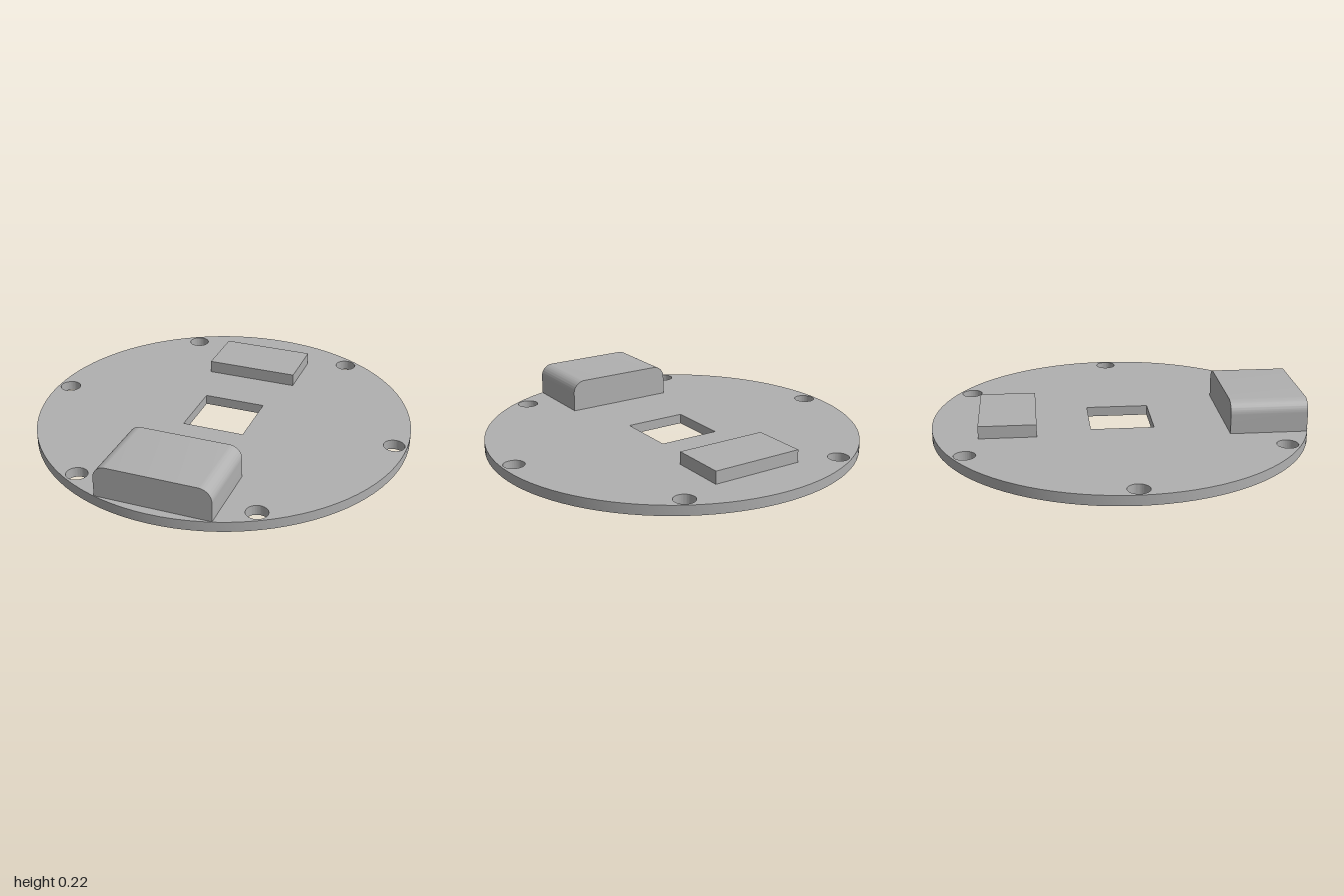
import * as THREE from 'three';
import { toCreasedNormals } from 'three/addons/utils/BufferGeometryUtils.js';

const THICK = 0.053;

// Extrude a shape and keep its edges sharp but its curves smooth
function extrude(shape, depth, curveSegments) {
  const geo = new THREE.ExtrudeGeometry(shape, { depth, bevelEnabled: false, curveSegments });
  return toCreasedNormals(geo, 0.6);
}

function circleHole(x, y, r) {
  const path = new THREE.Path();
  path.absarc(x, y, r, 0, Math.PI * 2, true);
  return path;
}

export function createModel() {
  const group = new THREE.Group();
  const grey = new THREE.MeshStandardMaterial({ color: 0xb0b0b0 });
  grey.name = 'plain grey';

  const add = (name, geo) => {
    const mesh = new THREE.Mesh(geo, grey);
    mesh.name = name;
    group.add(mesh);
    return mesh;
  };

  // Round plate with a square centre opening and six bolt holes
  const disc = new THREE.Shape();
  disc.absarc(0, 0, 1, 0, Math.PI * 2, false);
  const s = 0.167;
  disc.holes.push(new THREE.Path([
    new THREE.Vector2(-s, -s), new THREE.Vector2(-s, s),
    new THREE.Vector2(s, s), new THREE.Vector2(s, -s),
  ]));
  for (let i = 0; i < 6; i++) {
    const a = (i * Math.PI) / 3;
    disc.holes.push(circleHole(0.933 * Math.cos(a), 0.933 * Math.sin(a), 0.055));
  }
  add('basePlate', extrude(disc, THICK, 48).rotateX(-Math.PI / 2));

  // Front block with rounded upper side edges
  const w = 0.3, top = 0.222, r = 0.067;
  const profile = new THREE.Shape();
  profile.moveTo(-w, THICK);
  profile.lineTo(w, THICK);
  profile.lineTo(w, top - r);
  profile.absarc(w - r, top - r, r, 0, Math.PI / 2, false);
  profile.lineTo(-w + r, top);
  profile.absarc(-w + r, top - r, r, Math.PI / 2, Math.PI, false);
  profile.closePath();
  add('frontBlock', extrude(profile, 0.404, 12)).position.z = 0.548;

  // Low rectangular pad at the back
  add('rearPad', new THREE.BoxGeometry(0.5, 0.067, 0.3)).position.set(0, THICK + 0.0335, -0.6);

  return group;
}
